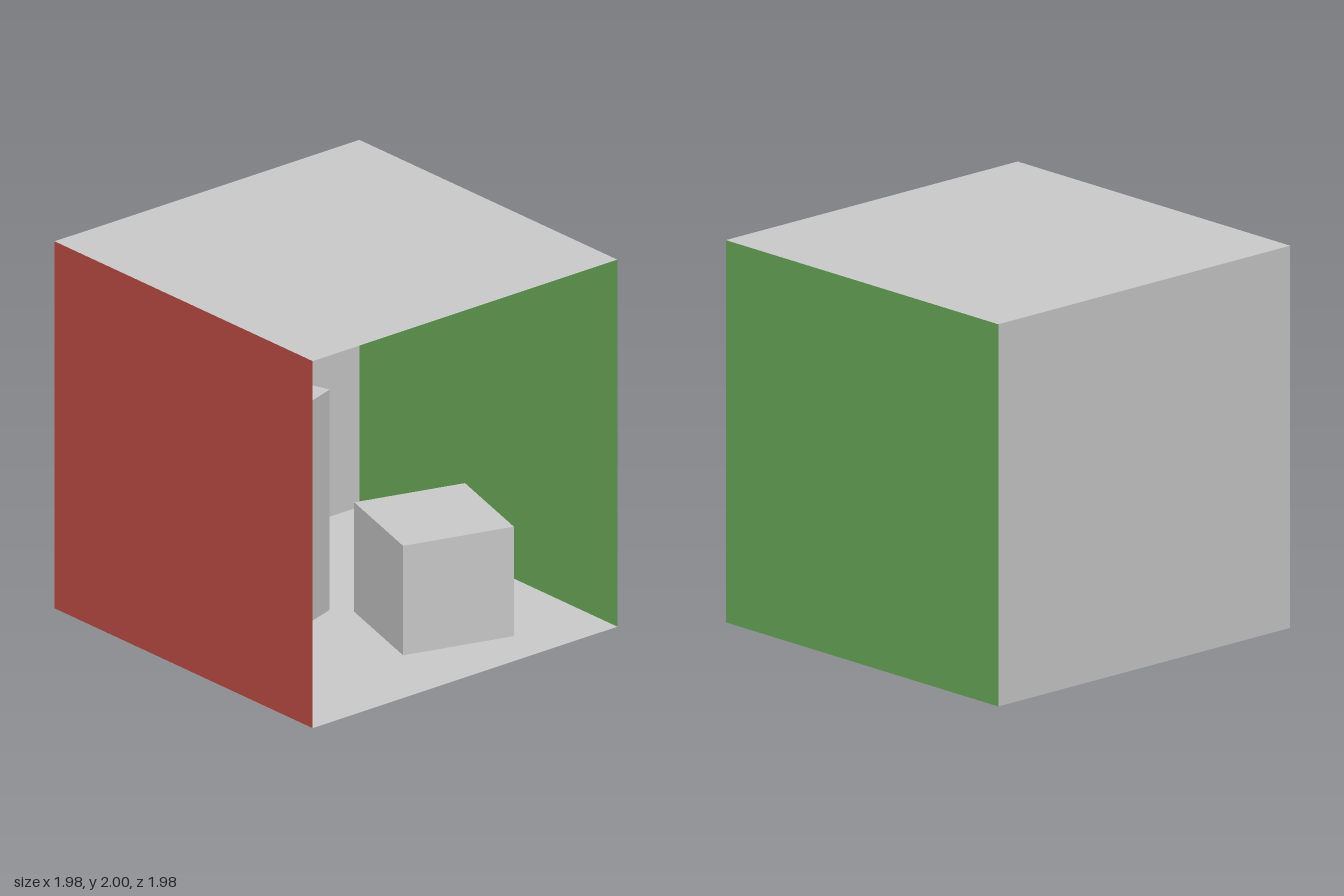
import * as THREE from 'three';

const FLOOR = 0.025, TOP = 2, HALF = 0.988;

export function createModel() {
  const model = new THREE.Group();
  const paint = (color) => new THREE.MeshStandardMaterial({ color, side: THREE.DoubleSide });
  const grey = paint(0xcccccc);
  const red = paint(0xb94a42);
  const green = paint(0x67a556);

  // Room: five thin panels, open at the front, each facing inwards
  const height = TOP - FLOOR, midY = (TOP + FLOOR) / 2, width = HALF * 2;
  const addPanel = (name, material, h, position, rotation) => {
    const panel = new THREE.Mesh(new THREE.PlaneGeometry(width, h), material);
    panel.name = name;
    panel.position.set(...position);
    panel.rotation.set(...rotation);
    model.add(panel);
  };
  const q = Math.PI / 2;
  addPanel('floor', grey, width, [0, FLOOR, 0], [-q, 0, 0]);
  addPanel('ceiling', grey, width, [0, TOP, 0], [q, 0, 0]);
  addPanel('backWall', grey, height, [0, midY, -HALF], [0, 0, 0]);
  addPanel('redWall', red, height, [-HALF, midY, 0], [0, q, 0]);
  addPanel('greenWall', green, height, [HALF, midY, 0], [0, -q, 0]);

  // Blocks: turned square prisms that sink slightly through the floor
  const addBlock = (name, side, h, x, z, turn) => {
    const block = new THREE.Mesh(
      new THREE.BoxGeometry(side, h, side),
      new THREE.MeshStandardMaterial({ color: 0xcccccc })
    );
    block.name = name;
    block.position.set(x, h / 2, z);
    block.rotation.y = turn;
    model.add(block);
  };
  addBlock('tallBlock', 0.594, 1.21, -0.334, -0.287, 0.308);
  addBlock('shortBlock', 0.599, 0.614, 0.318, 0.375, -0.287);

  return model;
}
